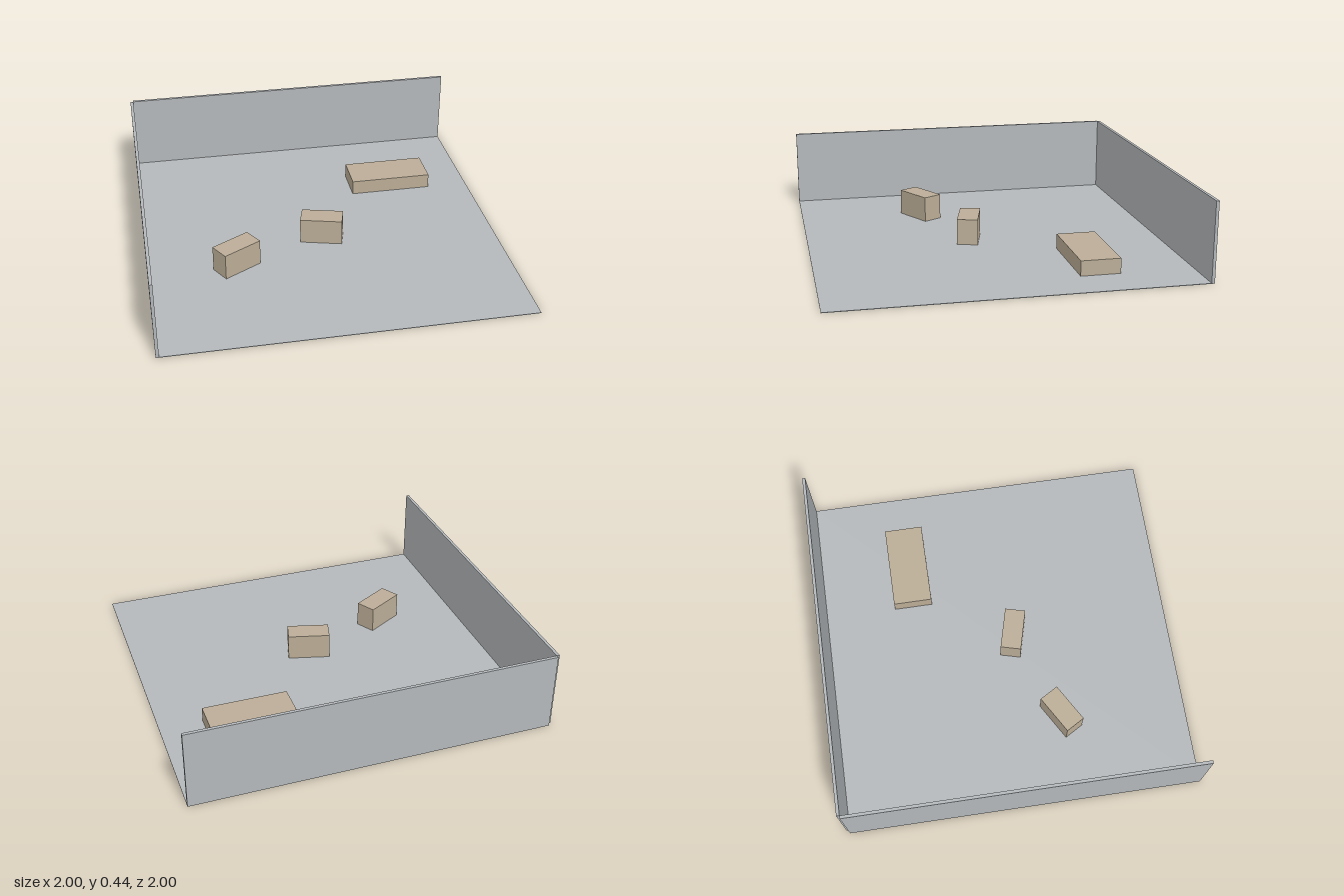
import * as THREE from 'three';

export function createModel() {
  const model = new THREE.Group();
  const grey = new THREE.MeshStandardMaterial({ color: 0xb4b8bb });
  grey.name = 'plaster grey';
  const tan = new THREE.MeshStandardMaterial({ color: 0xbbad97 });
  tan.name = 'crate tan';

  // Box standing on the ground, turned about its vertical axis
  function block(name, material, [w, h, d], [x, z], degrees = 0) {
    const mesh = new THREE.Mesh(new THREE.BoxGeometry(w, h, d), material);
    mesh.name = name;
    mesh.position.set(x, h / 2, z);
    mesh.rotation.y = THREE.MathUtils.degToRad(degrees);
    model.add(mesh);
  }

  // Room shell: the walls stand outside the floor, leaving a notch at the corner
  const t = 0.017;
  const span = 2 - t;
  const wallHeight = 0.44;
  block('floor', grey, [span, 0.003, span], [t / 2, t / 2]);
  block('backWall', grey, [span, wallHeight, t], [t / 2, -1 + t / 2]);
  block('rightWall', grey, [t, wallHeight, span], [-1 + t / 2, t / 2]);

  // Loose blocks on the floor
  block('lowBlock', tan, [0.475, 0.087, 0.22], [0.523, -0.468]);
  block('middleBlock', tan, [0.237, 0.15, 0.117], [0.008, 0.086], -15);
  block('sideBlock', tan, [0.237, 0.15, 0.117], [-0.506, 0.287], 30);

  return model;
}
